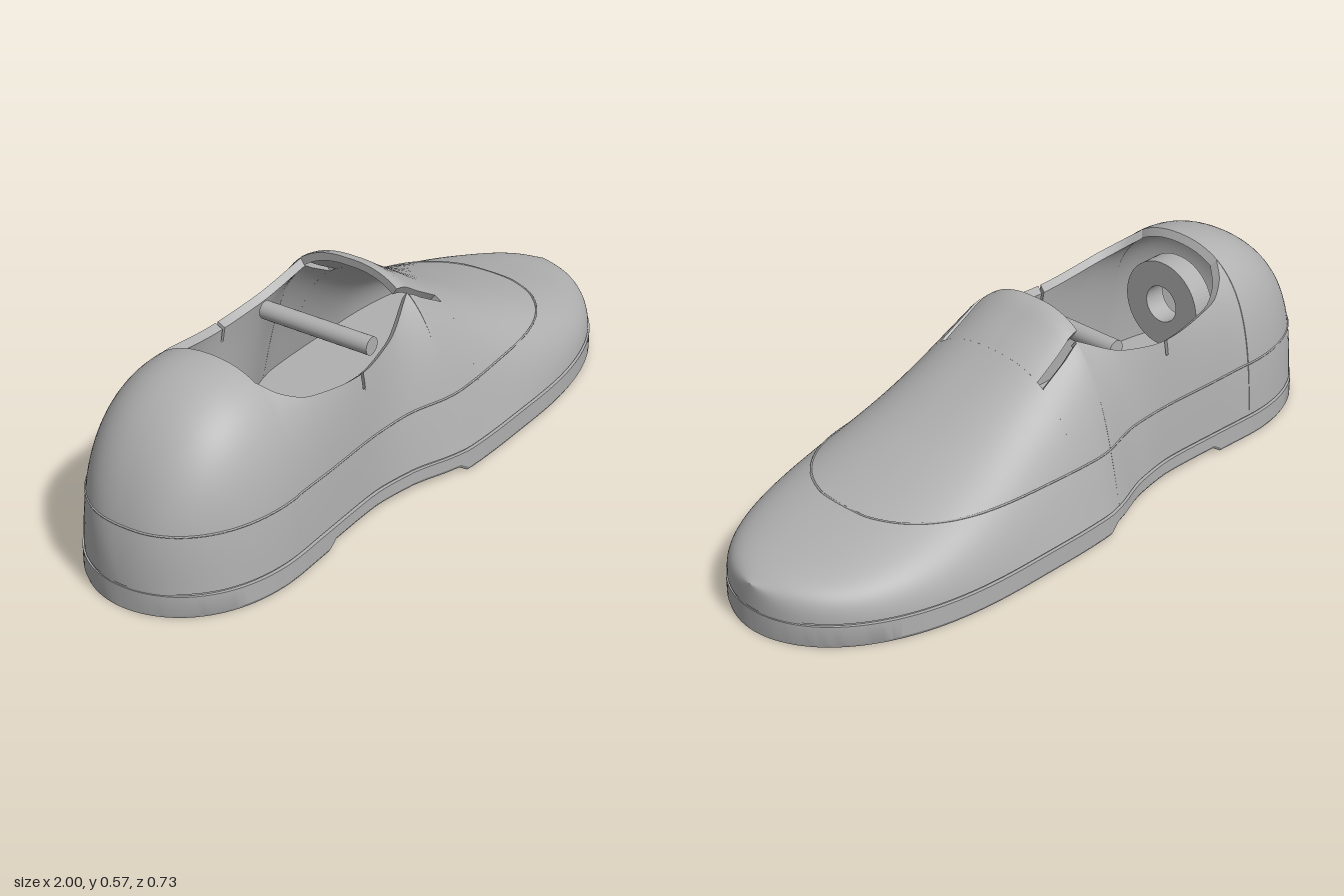
import * as THREE from 'three';
import { mergeVertices, toCreasedNormals } from 'three/addons/utils/BufferGeometryUtils.js';

const BASE = 0.07; // height where the upper meets the sole
const grey = new THREE.MeshStandardMaterial({ color: 0xb0b0b0, side: THREE.DoubleSide });
grey.name = 'grey';

// Smooth, non-overshooting interpolation of rows [x, a, b, ...]
function interp(rows, x) {
  const n = rows.length;
  let i = 0;
  while (i < n - 2 && x > rows[i + 1][0]) i++;
  const h = rows[i + 1][0] - rows[i][0];
  const t = THREE.MathUtils.clamp((x - rows[i][0]) / h, 0, 1);
  return rows[i].slice(1).map((a, k) => {
    const c = k + 1;
    const d = (j) => (rows[j + 1][c] - rows[j][c]) / (rows[j + 1][0] - rows[j][0]);
    const slope = (j) => {
      if (j === 0) return d(0);
      if (j === n - 1) return d(n - 2);
      const p = d(j - 1), q = d(j);
      return p * q <= 0 ? 0 : (2 * p * q) / (p + q);
    };
    const b = rows[i + 1][c], u = t * t * (3 - 2 * t);
    return a + (b - a) * u + h * (slope(i) * t * (1 - t) ** 2 - slope(i + 1) * t * t * (1 - t));
  });
}

// Half width of the shoe in plan
const WIDTH = [[-1, 0.285], [-0.7, 0.285], [-0.5, 0.278], [-0.3, 0.272], [-0.15, 0.292],
  [0, 0.343], [0.06, 0.355], [0.2, 0.36], [0.4, 0.36], [1, 0.36]];
function plan(x) {
  const u = x < -0.6 ? (-0.6 - x) / 0.4 : Math.max(0, (x - 0.35) / 0.65);
  return interp(WIDTH, x)[0] * Math.sqrt(Math.max(0, 1 - u ** 2.5));
}

// Height of the centre line of heel and vamp
const TOP = [[-0.03, 0.57], [0, 0.565], [0.05, 0.532], [0.1, 0.5], [0.2, 0.437], [0.3, 0.383], [0.4, 0.335],
  [0.5, 0.295], [0.6, 0.258], [0.7, 0.226], [0.85, 0.185], [0.95, 0.163], [1, 0.142]];
function top(x) {
  if (x > -0.5) return interp(TOP, x)[0];
  return BASE + 0.48 * Math.sqrt(Math.max(0, 1 - Math.max(0, (-0.62 - x) / 0.38) ** 2.25));
}

// Section controls: ratios for the closed parts, absolute z, y for the open walls
const CLOSED = [[-1, 0.957, 0.54, 0.857, 1], [-0.62, 0.957, 0.54, 0.857, 1], [-0.03, 0.826, 0.53, 0.725, 1.02],
  [0.2, 0.85, 0.53, 0.74, 1.02], [0.5, 0.95, 0.5, 0.8, 1], [1, 1, 0.5, 0.93, 1]];
const OPEN = [
  [-0.62, 0.271, 0.268, 0.253, 0.442, 0.139, 0.514],
  [-0.58, 0.27, 0.25, 0.255, 0.41, 0.185, 0.478],
  [-0.5, 0.27, 0.21, 0.262, 0.36, 0.222, 0.445],
  [-0.3, 0.265, 0.19, 0.255, 0.32, 0.237, 0.42],
  [-0.15, 0.275, 0.2, 0.25, 0.34, 0.22, 0.44],
  [0, 0.303, 0.252, 0.273, 0.424, 0.174, 0.508]];

// Point on the upper at station x, s = 0 at the sole and 1 at the rim or centre line
function section(x, s, open) {
  const w = plan(x), H = top(x) - BASE;
  let c;
  if (open) c = interp(OPEN, x);
  else {
    const r = interp(CLOSED, x);
    c = [r[0] * w, BASE + r[1] * H, r[2] * w, BASE + r[3] * H, 0, BASE + H];
  }
  const q = 1 - s, b = [q ** 3, 3 * q * q * s, 3 * q * s * s, s ** 3];
  return [x, b[0] * BASE + b[1] * c[1] + b[2] * c[3] + b[3] * c[5], b[0] * w + b[1] * c[0] + b[2] * c[2] + b[3] * c[4]];
}
const inset = ([x, y, z]) => [x * 0.98, BASE + (y - BASE) * 0.955, z * 0.92];

// Stations packed towards both ends
const stations = (x0, x1, n) => Array.from({ length: n + 1 }, (_, i) => x0 + (x1 - x0) * (0.5 - 0.5 * Math.cos((Math.PI * i) / n)));

// Grid of points to triangles, appended to a position list
function addGrid(out, grid, flip) {
  for (let i = 0; i + 1 < grid.length; i++)
    for (let j = 0; j + 1 < grid[i].length; j++) {
      const a = grid[i][j], b = grid[i + 1][j], c = grid[i + 1][j + 1], d = grid[i][j + 1];
      for (const p of flip ? [a, c, b, a, d, c] : [a, b, c, a, c, d]) out.push(...p);
    }
}
function toGeometry(list) {
  const g = new THREE.BufferGeometry();
  g.setAttribute('position', new THREE.Float32BufferAttribute(list, 3));
  return g;
}
function smooth(list) {
  const g = mergeVertices(toGeometry(list), 1e-5);
  g.computeVertexNormals();
  return g;
}

// Patches of the upper: x0, x1, s0, s1, open wall, steps along x, steps along s
const PATCHES = [
  [-1, -0.62, 0, 1, false, 30, 24], // heel cup
  [-0.62, -0.3, 0, 1, true, 24, 20], // rear quarters
  [-0.3, -0.29, 0, 0.86, true, 1, 20], // below the side notches
  [-0.29, 0, 0, 1, true, 24, 20], // front quarters
  [0, 0.14, 0, 0.68, false, 10, 16], // quarters beside the tongue
  [-0.025, 0.14, 0.725, 1, false, 10, 10], // tongue between the slits
  [0.14, 1, 0, 1, false, 60, 24], // vamp and toe
];

function buildUpper(add) {
  const outer = [], inner = [], edges = [];
  for (const [x0, x1, s0, s1, open, nx, ns] of PATCHES)
    for (const side of [1, -1]) {
      const flip = side < 0;
      const mirror = ([x, y, z]) => [x, y, z * side];
      const raw = stations(x0, x1, nx).map((x) =>
        Array.from({ length: ns + 1 }, (_, j) => section(x, s0 + ((s1 - s0) * j) / ns, open)));
      const o = raw.map((r) => r.map(mirror));
      const n = raw.map((r) => r.map((p) => mirror(inset(p))));
      addGrid(outer, o, flip);
      addGrid(inner, n, !flip);
      // Material thickness along the cut edges
      if (x0 > -1) addGrid(edges, [n[0], o[0]], flip);
      if (x1 < 1) addGrid(edges, [o[nx], n[nx]], flip);
      if (s0 > 0) addGrid(edges, o.map((r, i) => [n[i][0], r[0]]), flip);
      if (open || s1 < 1) addGrid(edges, o.map((r, i) => [r[ns], n[i][ns]]), flip);
    }
  add('upper', smooth(outer));
  add('lining', smooth(inner));
  add('collarEdge', toCreasedNormals(toGeometry(edges), 0.5));
}

// Raised bottom under the arch
const arch = (x) => 0.02 * THREE.MathUtils.clamp(Math.min((x + 0.5) / 0.03, (0.04 - x) / 0.03), 0, 1);

// Slab following the plan outline
function slab(x0, x1, y0, y1, grow, arched) {
  const xs = [...stations(x0, x1, 90), ...(arched ? [-0.5, -0.47, 0.01, 0.04] : [])].sort((a, b) => a - b);
  const loops = xs.map((x) => {
    const w = Math.max(0, plan(x) + grow), v = Math.max(0, w - 0.006), y = y0 + (arched ? arch(x) : 0);
    const e = Math.min(0.01, (y1 - y) / 3);
    return [[x, y, -v], [x, y + e, -w], [x, y1, -w], [x, y1, w], [x, y + e, w], [x, y, v], [x, y, -v]];
  });
  const list = [];
  addGrid(list, loops, false);
  for (const [loop, flip] of [[loops[0], false], [loops[loops.length - 1], true]]) {
    const [a, b, c, d, e, f] = loop;
    addGrid(list, [[a, b, c], [f, e, d]], flip);
  }
  return toCreasedNormals(toGeometry(list), 0.5);
}

// Closed line where the upper passes a given height
function contour(y) {
  const half = stations(-0.999, 0.9, 140).filter((x) => top(x) > y + 0.001).map((x) => {
    const open = x > -0.62 && x < 0;
    let lo = 0, hi = 1;
    for (let k = 0; k < 30; k++) {
      const m = (lo + hi) / 2;
      if (section(x, m, open)[1] < y) lo = m; else hi = m;
    }
    return new THREE.Vector3(...section(x, lo, open));
  });
  const other = half.map((p) => new THREE.Vector3(p.x, p.y, -p.z)).reverse();
  return new THREE.CatmullRomCurve3([...half, ...other], true);
}

export function createModel() {
  const model = new THREE.Group();
  model.name = 'shoe';
  const add = (name, geometry) => {
    const mesh = new THREE.Mesh(geometry, grey);
    mesh.name = name;
    model.add(mesh);
    return mesh;
  };

  buildUpper(add);
  add('outsole', slab(-1, 1, 0, 0.064, 0.005, true));
  add('soleGroove', slab(-0.997, 0.997, 0.06, 0.072, -0.005, false));
  add('insole', slab(-0.93, 0.85, 0.07, 0.085, -0.02, false));
  add('seam', new THREE.TubeGeometry(contour(0.23), 300, 0.003, 5, true));

  // Ring standing inside the heel
  const ring = new THREE.Shape().absarc(0, 0, 0.13, 0, Math.PI * 2);
  ring.holes.push(new THREE.Path().absarc(0, 0, 0.055, 0, Math.PI * 2, true));
  const ringMesh = add('heelRing', new THREE.ExtrudeGeometry(ring, { depth: 0.07, bevelEnabled: false, curveSegments: 32 }));
  ringMesh.rotation.y = Math.PI / 2;
  ringMesh.position.set(-0.62, 0.35, 0);

  // Cross bar in front of the opening
  const bar = add('crossBar', new THREE.CylinderGeometry(0.026, 0.026, 0.35, 24));
  bar.rotation.x = Math.PI / 2;
  bar.position.set(-0.163, 0.42, 0);
  return model;
}
